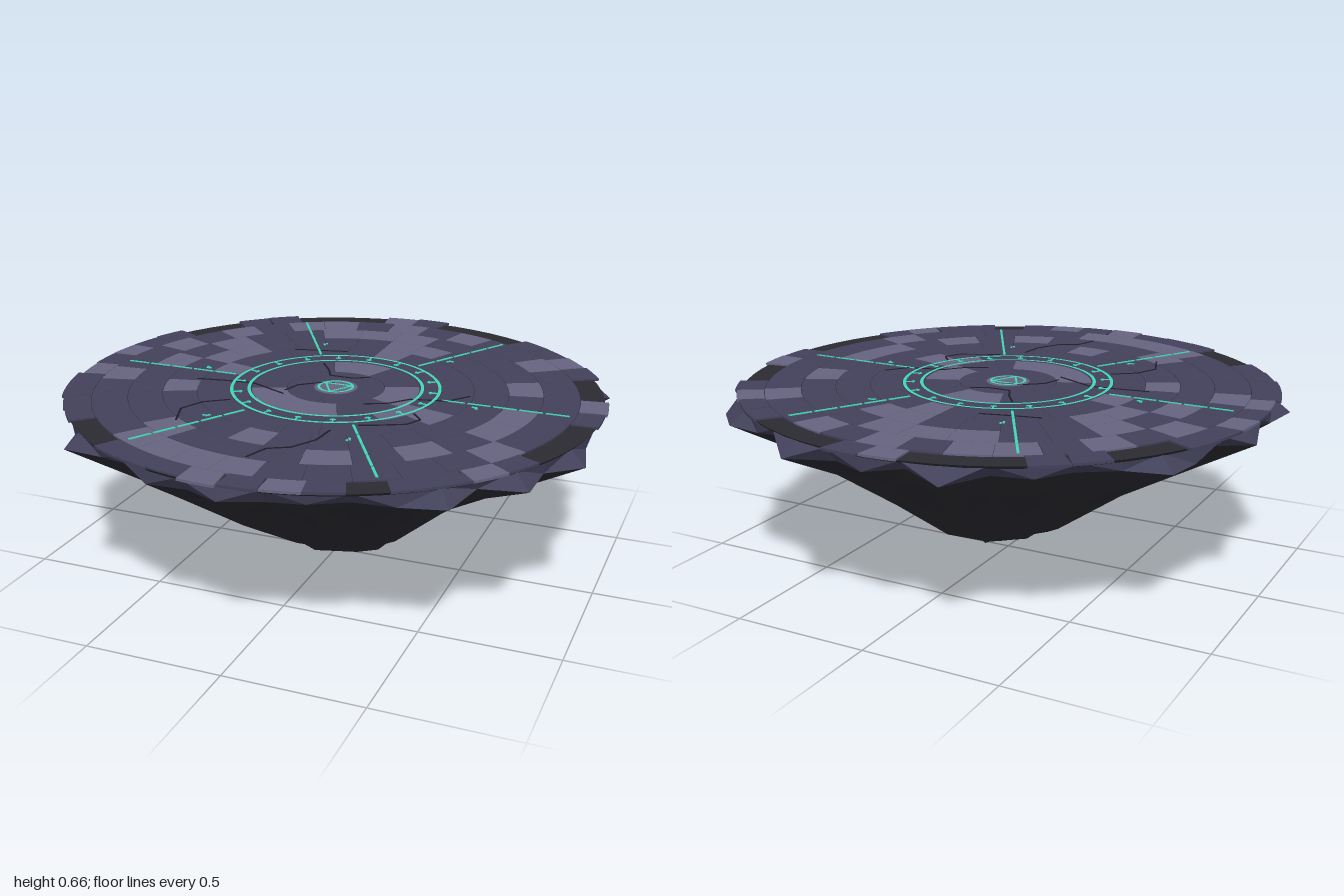
import * as THREE from 'three';
import { mergeGeometries } from 'three/addons/utils/BufferGeometryUtils.js';

const mat = (name, color, extra = {}) => {
  const m = new THREE.MeshStandardMaterial({ color, ...extra });
  m.name = name;
  return m;
};
const TAU = Math.PI * 2, DEG = Math.PI / 180;
const TOP = 0.661;

// Small seeded random in -1..1
function seeded(seed) {
  return () => {
    seed = (seed * 16807) % 2147483647;
    return (seed / 2147483647) * 2 - 1;
  };
}

// Faceted skin joining rows of points, listed from top to bottom
function skin(rows) {
  const p = [], n = rows[0].length;
  for (let i = 0; i < rows.length - 1; i++) {
    for (let j = 0; j < n; j++) {
      const k = (j + 1) % n;
      const a = rows[i][j], b = rows[i][k], c = rows[i + 1][j], d = rows[i + 1][k];
      if (j % 2) p.push(...a, ...b, ...c, ...b, ...d, ...c);
      else p.push(...a, ...b, ...d, ...a, ...d, ...c);
    }
  }
  const g = new THREE.BufferGeometry();
  g.setAttribute('position', new THREE.Float32BufferAttribute(p, 3));
  g.computeVertexNormals();
  return g;
}

// Curved paving tile between two radii and two angles
function tile(r0, r1, a, b, twist = 0) {
  const s = new THREE.Shape();
  s.absarc(0, 0, r1, a, b, false);
  s.absarc(0, 0, r0, b + twist, a + twist, true);
  const g = new THREE.ExtrudeGeometry(s, { depth: 0.009, bevelEnabled: false, curveSegments: b - a > 0.4 ? 8 : 3 });
  return g.rotateX(Math.PI / 2).translate(0, TOP, 0);
}

// Thin flat strip on the floor from one point to another
function strip(x0, z0, x1, z1, width, y = TOP) {
  const dx = x1 - x0, dz = z1 - z0;
  return new THREE.BoxGeometry(Math.hypot(dx, dz), 0.004, width)
    .rotateY(-Math.atan2(dz, dx)).translate((x0 + x1) / 2, y + 0.001, (z0 + z1) / 2);
}
const polar = (r, a) => [r * Math.cos(a), r * Math.sin(a)];
const radial = (r0, r1, a, w) => strip(...polar(r0, a), ...polar(r1, a), w);
const flatRing = (r0, r1, n = 72) =>
  new THREE.RingGeometry(r0, r1, n).rotateX(-Math.PI / 2).translate(0, TOP + 0.003, 0);

export function createModel() {
  const group = new THREE.Group();
  const rock = mat('dark rock', 0x2a2a31, { flatShading: true });
  const stone = mat('slate stone', 0x42415a, { flatShading: true });
  const pale = mat('pale stone', 0x666380);
  const glow = mat('teal inlay', 0x42d6b5);
  const crackMat = mat('crack black', 0x1f1e27);
  const add = (name, geo, m) => {
    const mesh = new THREE.Mesh(geo, m);
    mesh.name = name;
    group.add(mesh);
  };

  // Rock body: jagged rim, then ribbed rows narrowing to an off-centre point
  const rnd = seeded(4711), N = 44;
  const spikes = [255, 307, 322, 336, 14, 164, 211, 134, 52, 187, 290, 35];
  const ribs = Array.from({ length: N }, (_, j) => (j % 2 ? 1 : -1) * (0.02 + 0.02 * Math.abs(rnd())));
  const row = (y, r, cx, rib, jr, jy) => ribs.map((f, j) => {
    const a = (j / N) * TAU, q = r * (1 + f * rib + rnd() * jr);
    return [cx + q * Math.cos(a), y + rnd() * jy, q * Math.sin(a)];
  });
  const upper = row(0.652, 0.968, 0, 0, 0.005, 0);
  const lower = row(0.604, 0.94, 0, 1, 0.012, 0.012);
  for (const s of spikes) {
    const j = Math.round((s / 360) * N) % N, a = (j / N) * TAU;
    const r = Math.min(1.03, 1 / Math.max(Math.abs(Math.cos(a)), Math.abs(Math.sin(a))));
    lower[j] = [r * Math.cos(a), 0.6, r * Math.sin(a)];
  }
  add('rockRim', skin([upper, lower]), stone);
  add('rockUnderside', skin([
    lower,
    row(0.5, 0.79, 0, 1.1, 0.02, 0.01),
    row(0.315, 0.505, 0.02, 1.5, 0.04, 0.015),
    row(0.13, 0.255, 0.03, 2, 0.06, 0.012),
    ribs.map(() => [0.09, 0, 0]),
  ]), rock);
  add('floorBed', new THREE.CylinderGeometry(0.978, 0.97, 0.01, 72).translate(0, 0.65, 0), rock);

  // Paving rings: inner radius, outer radius, tile count, angles of pale tiles
  const rings = [
    [0.07, 0.18, 6, []],
    [0.18, 0.31, 8, [270, 90, 150, 5]],
    [0.31, 0.39, 12, [25]],
    [0.39, 0.51, 24, [276, 22, 185]],
    [0.51, 0.635, 28, [276, 288, 100, 163, 197, 211]],
    [0.635, 0.76, 28, [250, 260, 278, 335, 347, 2, 14, 43, 77, 119, 180, 211]],
    [0.76, 0.89, 36, [240, 250, 270, 290, 318, 32, 90, 100, 112, 123, 167, 203, 223]],
    [0.89, 0.975, 46, [267, 318, 355, 42, 97, 78, 191, 176]],
  ];
  // Stretches of the outer ring where tiles have fallen away
  const gaps = [[275, 302], [329, 350], [3, 31], [62, 69], [125, 136], [206, 222], [240, 264]];
  const plain = [], light = [];
  rings.forEach(([r0, r1, n, pales], ring) => {
    const step = TAU / n, outer = ring === 7;
    const offset = ring > 5 || ring < 3 ? -step / 2 : 0;
    const chosen = new Set(pales.map((d) => Math.floor(((d * DEG - offset + TAU) % TAU) / step)));
    for (let i = 0; i < n; i++) {
      const a = offset + i * step, mid = (((a + step / 2) / DEG) + 360) % 360;
      if (outer && !chosen.has(i) && gaps.some(([s, e]) => mid > s && mid < e)) continue;
      const shift = outer ? 0.012 + 0.012 * rnd() : 0;
      const seam = 0.0008 / r1;
      const g = tile(r0 + 0.001, r1 - 0.001 + shift, a + seam, a + step - seam, outer ? rnd() * 0.015 : 0);
      (chosen.has(i) ? light : plain).push(g);
    }
  });
  add('slateTiles', mergeGeometries(plain), stone);
  add('paleTiles', mergeGeometries(light), pale);
  add('centreDisc', new THREE.CylinderGeometry(0.08, 0.08, 0.01, 32).translate(0, TOP - 0.004, 0), pale);

  // Inlaid rings and the triangle at the centre
  add('inlayRings', mergeGeometries([flatRing(0.314, 0.326), flatRing(0.378, 0.39), flatRing(0.058, 0.068, 40)]), glow);
  const tri = [90, 210, 330].map((d) => polar(0.06, d * DEG));
  add('centreTriangle', mergeGeometries(tri.map((p, i) => strip(...p, ...tri[(i + 1) % 3], 0.007))), glow);

  // Small pointers between the two rings
  const marks = [];
  for (let i = 0; i < 18; i++) {
    const a = (i + 0.5) * (TAU / 18);
    marks.push(radial(0.35, 0.38, a, 0.006));
    const tip = polar(0.347, a);
    for (const s of [-1, 1]) marks.push(strip(...tip, ...polar(0.354, a + s * 0.028), 0.006));
  }
  add('ringPointers', mergeGeometries(marks), glow);

  // Six dashed spokes, each with small marks beside it
  const dashes = [];
  for (let i = 0; i < 6; i++) {
    const a = (i * TAU) / 6, w = i % 3 ? 0.009 : 0.007;
    for (let k = 0; k < 5; k++) dashes.push(radial(0.41 + k * 0.094, 0.41 + k * 0.094 + 0.084, a, w));
    dashes.push(radial(0.53, 0.55, a + 0.06, 0.008), radial(0.545, 0.555, a + 0.08, 0.008));
  }
  add('inlaySpokes', mergeGeometries(dashes), glow);

  // Cracks across the paving, as x, z pairs
  const cracks = [
    [-0.33, -0.38, -0.24, -0.4, -0.12, -0.43],
    [-0.15, -0.25, -0.1, -0.18, -0.07, -0.12, 0.02, -0.12, 0.08, -0.15],
    [-0.52, 0.1, -0.4, 0.08, -0.3, 0.07, -0.15, 0.14],
    [-0.16, 0.1, -0.14, 0.03, -0.08, -0.02, -0.02, -0.04],
    [0.49, -0.08, 0.43, 0, 0.3, 0.03, 0.24, 0.1, 0.16, 0.14],
    [0.36, 0.17, 0.4, 0.22, 0.37, 0.28, 0.27, 0.33, 0.22, 0.35],
    [-0.3, 0.27, -0.38, 0.33, -0.42, 0.42, -0.38, 0.53],
    [0.15, 0.43, 0.14, 0.53, 0.09, 0.62, 0.02, 0.66, -0.01, 0.75],
  ];
  const pieces = [];
  for (const c of cracks)
    for (let i = 0; i + 3 < c.length; i += 2) pieces.push(strip(c[i], c[i + 1], c[i + 2], c[i + 3], 0.007, TOP - 0.001));
  add('floorCracks', mergeGeometries(pieces), crackMat);
  return group;
}
